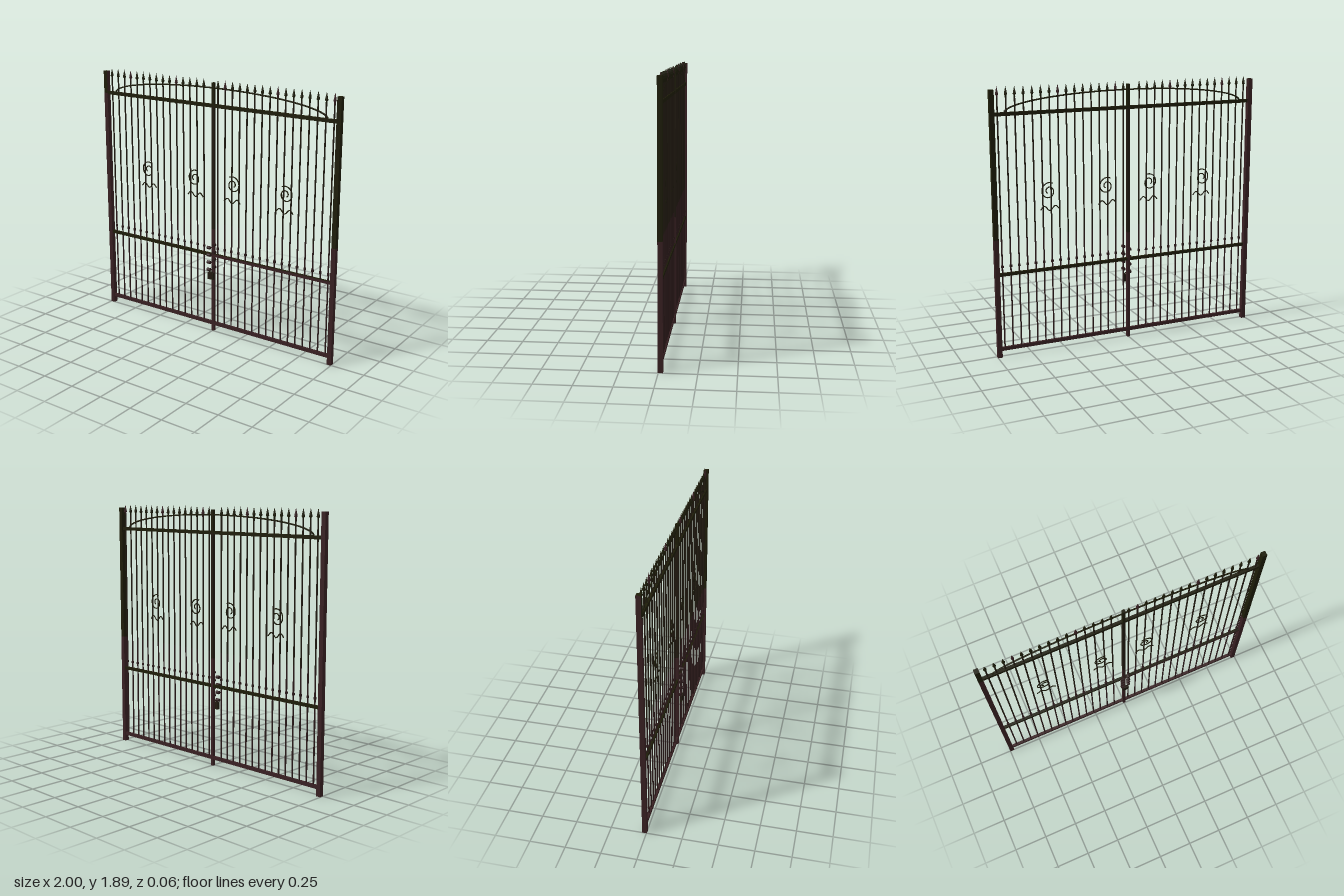
import * as THREE from 'three';

const mat = (name, color) => {
  const m = new THREE.MeshStandardMaterial({ color });
  m.name = name;
  return m;
};

export function createModel() {
  const gate = new THREE.Group();
  gate.name = 'gate';
  const dark = mat('olive black iron', 0x1d1c08);
  const rust = mat('rusty brown iron', 0x382022);
  const upperIron = mat('brown olive iron', 0x211a10);
  const lowerIron = mat('brown black iron', 0x2c1a1a);
  const Z = -0.013; // plane of the gate

  const add = (name, geometry, material, x = 0, y = 0, z = Z, parent = gate) => {
    const m = new THREE.Mesh(geometry, material);
    m.name = name;
    m.position.set(x, y, z);
    parent.add(m);
    return m;
  };
  // box given by its x and y limits
  const bar = (name, x0, x1, y0, y1, depth, material) =>
    add(name, new THREE.BoxGeometry(x1 - x0, y1 - y0, depth), material, (x0 + x1) / 2, (y0 + y1) / 2);

  // posts, rusty towards the ground (face order: +x, -x, +y, -y, +z, -z)
  bar('rightPostLower', -1, -0.968, 0, 1.7, 0.033, rust);
  bar('rightPostUpper', -1, -0.968, 1.7, 1.865, 0.033, [rust, rust, dark, rust, dark, rust]);
  bar('leftPostLower', 0.968, 1, 0, 0.85, 0.033, rust);
  bar('leftPostUpper', 0.968, 1, 0.85, 1.865, 0.033, dark);
  bar('centrePostLower', -0.01, 0.01, 0, 0.8, 0.022, rust);
  bar('centrePostMiddle', -0.01, 0.01, 0.8, 1.7, 0.022, upperIron);
  bar('centrePostUpper', -0.01, 0.01, 1.7, 1.865, 0.022, dark);

  // rails
  bar('bottomRail', -0.97, 0.97, 0.047, 0.071, 0.02, rust);
  bar('middleRailRight', -0.97, 0, 0.588, 0.609, 0.02, dark);
  bar('middleRailLeft', 0, 0.97, 0.588, 0.609, 0.02, [dark, dark, dark, rust, rust, dark]);
  bar('topRail', -0.97, 0.97, 1.69, 1.714, 0.02, dark);

  // upright bars with collars and spear heads
  const lowerRod = new THREE.CylinderGeometry(0.0055, 0.0055, 0.79, 8);
  const upperRod = new THREE.CylinderGeometry(0.0055, 0.0055, 0.97, 8);
  const collarGeo = new THREE.CylinderGeometry(0.0095, 0.0095, 0.015, 10);
  const spearGeo = new THREE.LatheGeometry(
    [[0, 1.805], [0.006, 1.81], [0.0055, 1.825], [0.0115, 1.832], [0.008, 1.85], [0, 1.887]]
      .map(([r, y]) => new THREE.Vector2(r, y)), 8);
  for (let i = 0; i < 32; i++) {
    if (i === 15) continue; // gap beside the centre post
    const x = -0.931 + i * 0.0605;
    add('barLower', lowerRod, lowerIron, x, 0.455);
    add('barUpper', upperRod, upperIron, x, 1.335);
    add('barCollar', collarGeo, lowerIron, x, 0.655);
    add('spearHead', spearGeo, i % 7 === 3 ? rust : dark, x);
  }

  const tube = (name, pts, radius, parent) => add(name,
    new THREE.TubeGeometry(new THREE.CatmullRomCurve3(pts), pts.length * 3, radius, 6),
    dark, 0, 0, 0, parent);
  const sample = (n, f) => Array.from({ length: n + 1 }, (_, i) => f(i / n));

  // arch over the top rail
  tube('arch', sample(40, t => {
    const a = Math.PI * t;
    return new THREE.Vector3(-0.9 * Math.cos(a), 1.708 + 0.119 * Math.sin(a), Z);
  }), 0.0058, gate);

  // scrollwork: a spiral over a wave, mirrored on the two leaves
  for (const side of [-1, 1]) for (const cx of [0.167, 0.598]) {
    const scroll = new THREE.Group();
    scroll.name = 'scroll';
    scroll.position.set(side * cx, 0, Z);
    gate.add(scroll);
    tube('spiral', sample(30, t => {
      const a = 1.05 + t * Math.PI * 3;
      const r = 0.063 - 0.048 * t;
      return new THREE.Vector3(-side * Math.cos(a) * r * 0.95, 1.154 + Math.sin(a) * r, 0);
    }), 0.0042, scroll);
    tube('wave', sample(20, t => new THREE.Vector3(
      (t - 0.5) * 0.138 - side * 0.006,
      1.034 - 0.016 * Math.cos((t - 0.5) * Math.PI * 3.4), 0)), 0.0042, scroll);
  }

  // chain of alternating links in front of the centre post
  const linkGeo = new THREE.CylinderGeometry(0.012, 0.012, 0.028, 10);
  for (let i = 0; i < 4; i++) {
    const y = 0.49 + i * 0.0565;
    add('crossLink', linkGeo, lowerIron, -0.021, y, 0.017).rotation.z = Math.PI / 2;
    add('forwardLink', linkGeo, lowerIron, 0.024, y + 0.028, 0.017).rotation.x = Math.PI / 2;
  }

  // padlock
  add('padlockBody', new THREE.BoxGeometry(0.048, 0.052, 0.02), upperIron, 0, 0.446, 0.02);
  add('padlockShackle', new THREE.TorusGeometry(0.015, 0.004, 6, 12, Math.PI), upperIron, 0, 0.47, 0.02);

  return gate;
}
